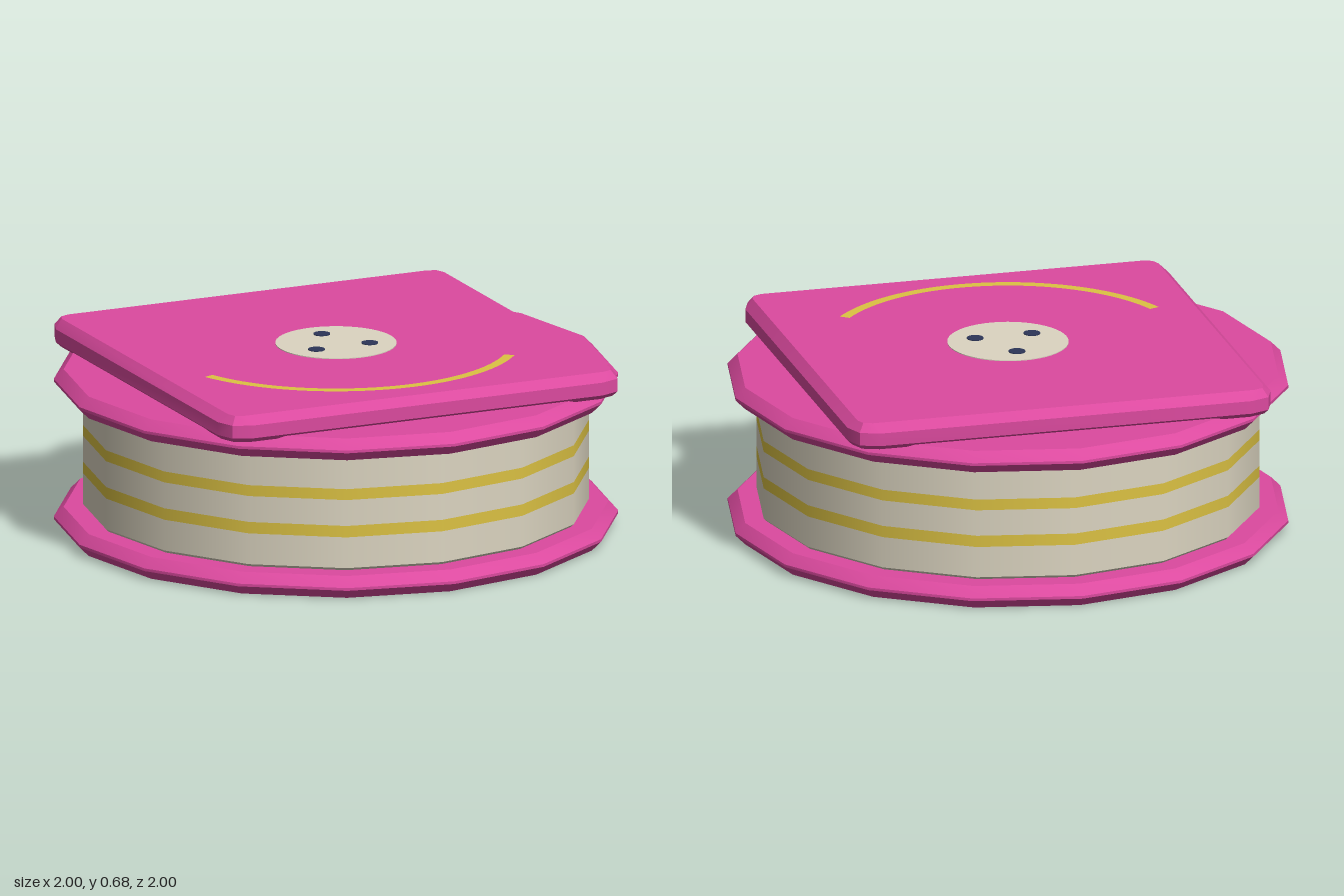
import * as THREE from 'three';
import { toCreasedNormals } from 'three/addons/utils/BufferGeometryUtils.js';
import { ConvexGeometry } from 'three/addons/geometries/ConvexGeometry.js';

const SIDES = 16;

function material(name, color) {
  const m = new THREE.MeshStandardMaterial({ color });
  m.name = name;
  return m;
}

export function createModel() {
  const model = new THREE.Group();
  model.name = 'spool';
  const pink = material('pink', 0xdc4a9f);
  const cream = material('cream', 0xdcd5c1);
  const yellow = material('yellow', 0xdcc243);
  const navy = material('navy', 0x2c3558);

  function add(name, geometry, mat, x = 0, y = 0, z = 0) {
    const mesh = new THREE.Mesh(geometry, mat);
    mesh.name = name;
    mesh.position.set(x, y, z);
    model.add(mesh);
    return mesh;
  }

  // Flanges: closed discs with a pointed rim
  const rim = [[0, 0], [0.965, 0], [1, 0.035], [1, 0.045], [0.965, 0.08], [0, 0.08]];
  const flange = toCreasedNormals(
    new THREE.LatheGeometry(rim.map(([r, y]) => new THREE.Vector2(r, y)), SIDES), 0.5);
  add('bottomFlange', flange, pink);
  add('topFlange', flange, pink, 0, 0.505);

  // Barrel: stacked bands sharing one wall, with slightly eased ends
  const R = 0.897;
  const bands = [
    ['barrelLowerEdge', 0.08, 0.09, R - 0.01, R, cream],
    ['barrelLower', 0.09, 0.203, R, R, cream],
    ['lowerStripe', 0.203, 0.245, R, R, yellow],
    ['barrelMiddle', 0.245, 0.34, R, R, cream],
    ['upperStripe', 0.34, 0.38, R, R, yellow],
    ['barrelUpper', 0.38, 0.495, R, R, cream],
    ['barrelUpperEdge', 0.495, 0.505, R, R - 0.01, cream],
  ];
  for (const [name, y0, y1, r0, r1, mat] of bands) {
    add(name, new THREE.CylinderGeometry(r1, r0, y1 - y0, SIDES, 1, true), mat, 0, (y0 + y1) / 2);
  }

  // Square lid: rounded-square outlines stacked into a bevelled slab
  const lidPoints = [];
  function outline(half, cut, y) {
    const a = half - cut, b = half - cut * 0.28;
    for (const sx of [-1, 1]) for (const sz of [-1, 1]) {
      for (const [x, z] of [[a, half], [b, b], [half, a]]) {
        lidPoints.push(new THREE.Vector3(sx * x, y, sz * z));
      }
    }
  }
  outline(0.76, 0.08, 0.576);
  outline(0.777, 0.095, 0.593);
  outline(0.777, 0.095, 0.64);
  outline(0.745, 0.045, 0.67);
  add('lid', toCreasedNormals(new ConvexGeometry(lidPoints), 0.5), pink);

  // Round hub plate with three holes
  const top = 0.67;
  add('hubPlate', new THREE.CylinderGeometry(0.215, 0.215, 0.004, 48), cream, 0, top + 0.001);
  for (let i = 0; i < 3; i++) {
    const a = i * Math.PI * 2 / 3;
    add('hubHole', new THREE.CylinderGeometry(0.03, 0.03, 0.004, 20), navy,
      0.12 * Math.sin(a), top + 0.004, -0.12 * Math.cos(a));
  }

  // Curved stripe sweeping around the front of the lid
  const arc = new THREE.RingGeometry(0.617, 0.655, 48, 1,
    THREE.MathUtils.degToRad(-160), THREE.MathUtils.degToRad(120));
  arc.rotateX(-Math.PI / 2);
  add('lidArc', arc, yellow, 0, top + 0.003);

  return model;
}
